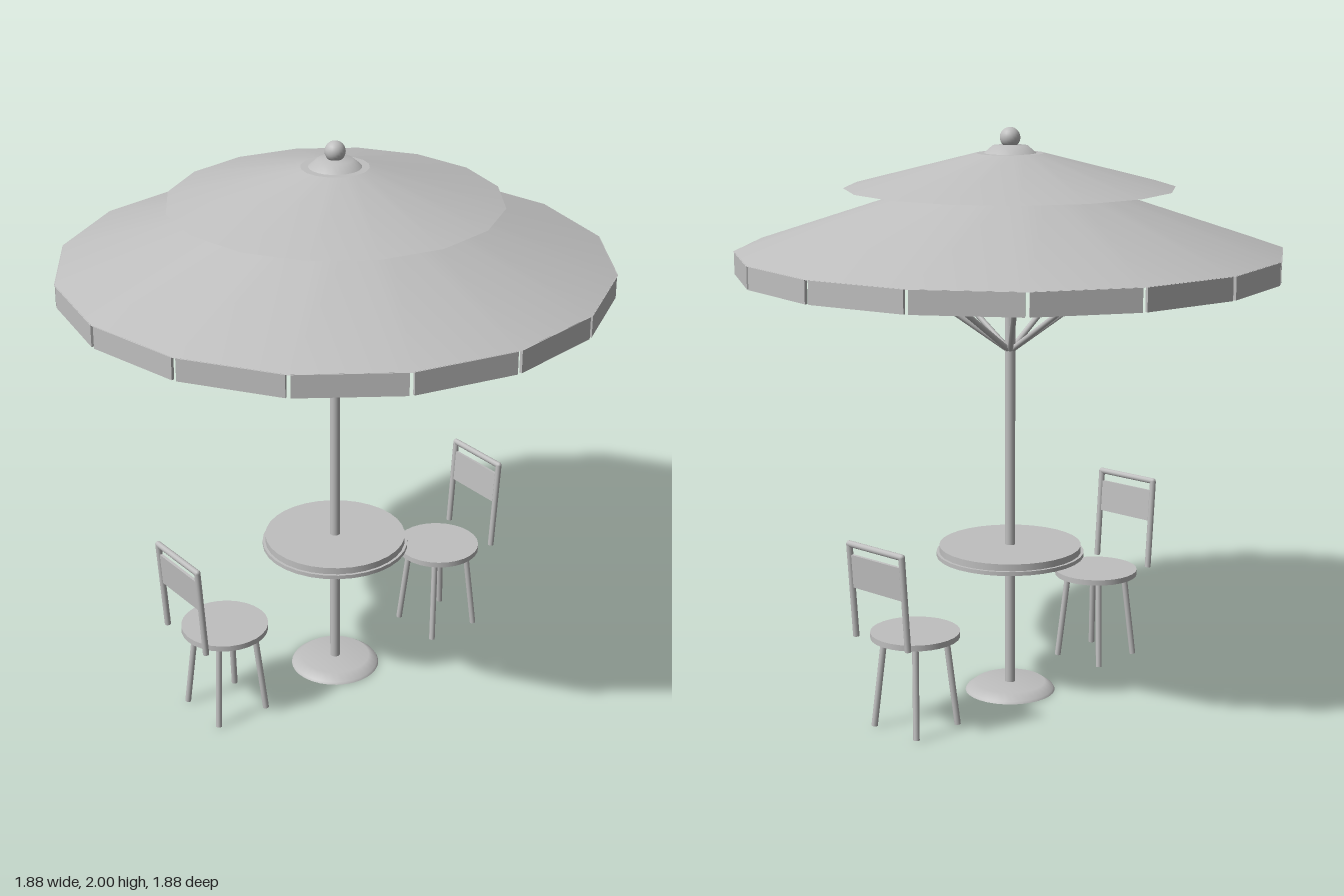
import * as THREE from 'three';

const grey = new THREE.MeshStandardMaterial({ color: 0xbfbfbf });
grey.name = 'plain grey';

function add(parent, name, geometry, x = 0, y = 0, z = 0) {
  const mesh = new THREE.Mesh(geometry, grey);
  mesh.name = name;
  mesh.position.set(x, y, z);
  parent.add(mesh);
  return mesh;
}

// Closed round part between two heights
function disc(parent, name, rTop, rBottom, y0, y1, sides, x = 0) {
  return add(parent, name, new THREE.CylinderGeometry(rTop, rBottom, y1 - y0, sides), x, (y0 + y1) / 2, 0);
}

// Straight round bar between two points
function bar(parent, name, a, b, radius, sides = 10) {
  const from = new THREE.Vector3(...a), to = new THREE.Vector3(...b);
  const dir = to.clone().sub(from);
  const mesh = add(parent, name, new THREE.CylinderGeometry(radius, radius, dir.length(), sides));
  mesh.position.copy(from).add(to).multiplyScalar(0.5);
  mesh.quaternion.setFromUnitVectors(new THREE.Vector3(0, 1, 0), dir.normalize());
  return mesh;
}

function lathe(parent, name, points, sides) {
  return add(parent, name, new THREE.LatheGeometry(points.map(p => new THREE.Vector2(...p)), sides));
}

function makeParasol() {
  const g = new THREE.Group();
  g.name = 'parasol';
  lathe(g, 'base', [[0, 0.03], [0.125, 0.03], [0.155, 0.008], [0.16, 0]].reverse(), 32);
  const floor = add(g, 'baseUnderside', new THREE.CircleGeometry(0.16, 32));
  floor.rotation.x = Math.PI / 2;
  disc(g, 'pole', 0.018, 0.018, 0.01, 1.6, 16);

  // Two-tier canopy
  disc(g, 'lowerCanopy', 0.28, 0.94, 1.585, 1.803, 16);
  disc(g, 'upperCanopy', 0.115, 0.565, 1.797, 1.913, 16);
  lathe(g, 'finialCollar', [[0.09, 1.912], [0.06, 1.938], [0, 1.942]], 24);
  add(g, 'finialBall', new THREE.SphereGeometry(0.035, 20, 14), 0, 1.965, 0);

  // Hanging valance panels, one on each canopy edge
  for (let i = 0; i < 16; i++) {
    const a = (i + 0.5) * Math.PI / 8;
    const panel = add(g, 'valancePanel', new THREE.BoxGeometry(0.35, 0.077, 0.01),
      Math.sin(a) * 0.915, 1.5475, Math.cos(a) * 0.915);
    panel.rotation.y = a;
  }

  // Struts fanning out from the pole
  for (let i = 0; i < 8; i++) {
    const a = i * Math.PI / 4, s = Math.sin(a), c = Math.cos(a);
    bar(g, 'strut', [s * 0.01, 1.24, c * 0.01], [s * 0.5, 1.588, c * 0.5], 0.01, 8);
  }
  return g;
}

function makeTable() {
  const g = new THREE.Group();
  g.name = 'table';
  disc(g, 'tableTop', 0.25, 0.25, 0.515, 0.54, 32);
  disc(g, 'tableRim', 0.26, 0.26, 0.502, 0.516, 32);
  return g;
}

// Chair with its back towards +x
function makeChair() {
  const g = new THREE.Group();
  g.name = 'chair';
  disc(g, 'seat', 0.152, 0.152, 0.32, 0.34, 28);
  for (const x of [-1, 1]) {
    for (const z of [-1, 1]) {
      bar(g, 'leg', [x * 0.1, 0.004, z * 0.1], [x * 0.073, 0.325, z * 0.073], 0.011);
    }
  }
  for (const z of [-0.122, 0.122]) {
    bar(g, 'backPost', [0.157, 0.335, z], [0.181, 0.662, z], 0.011);
    add(g, 'backCorner', new THREE.SphereGeometry(0.011, 10, 8), 0.181, 0.662, z);
  }
  bar(g, 'topRail', [0.181, 0.662, -0.122], [0.181, 0.662, 0.122], 0.011);
  const panel = add(g, 'backPanel', new THREE.BoxGeometry(0.01, 0.115, 0.236), 0.174, 0.568, 0);
  panel.rotation.z = -0.073;
  return g;
}

export function createModel() {
  const model = new THREE.Group();
  model.name = 'patioSet';
  model.add(makeParasol(), makeTable());

  // Chairs face each other across the table
  for (const side of [1, -1]) {
    const chair = makeChair();
    chair.position.x = side * 0.48;
    chair.rotation.y = side > 0 ? 0 : Math.PI;
    model.add(chair);
  }
  return model;
}
